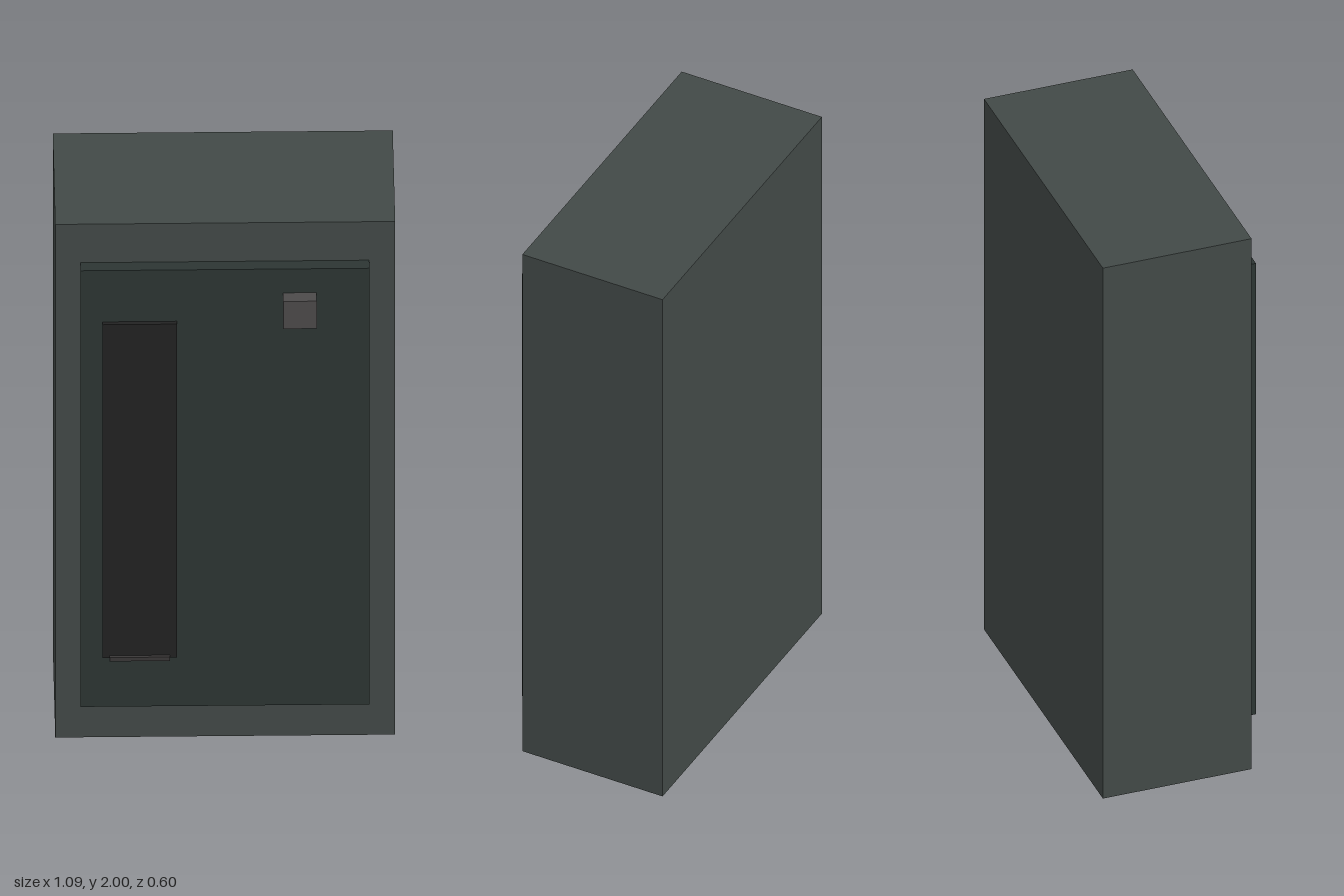
import * as THREE from 'three';

// Box given by its [min, max] extents on each axis
function addBox(parent, name, color, [x0, x1], [y0, y1], [z0, z1]) {
  const mesh = new THREE.Mesh(
    new THREE.BoxGeometry(x1 - x0, y1 - y0, z1 - z0),
    new THREE.MeshStandardMaterial({ color })
  );
  mesh.name = name;
  mesh.position.set((x0 + x1) / 2, (y0 + y1) / 2, (z0 + z1) / 2);
  parent.add(mesh);
}

export function createModel() {
  const model = new THREE.Group();
  model.name = 'wallCabinet';

  // Main housing
  addBox(model, 'housing', 0x424947, [-0.543, 0.543], [0, 2], [-0.3, 0.207]);
  // Raised front plate
  addBox(model, 'frontPlate', 0x2c3533, [-0.463, 0.46], [0.15, 1.85], [0.207, 0.252]);
  // Tall dark panel with a small ledge at its foot
  addBox(model, 'darkPanel', 0x222222, [-0.393, -0.155], [0.35, 1.65], [0.252, 0.268]);
  addBox(model, 'panelLedge', 0x3a3838, [-0.37, -0.178], [0.345, 0.36], [0.252, 0.279]);
  // Square push button
  addBox(model, 'button', 0x4c4a4a, [0.184, 0.291], [1.65, 1.757], [0.252, 0.3]);

  return model;
}
